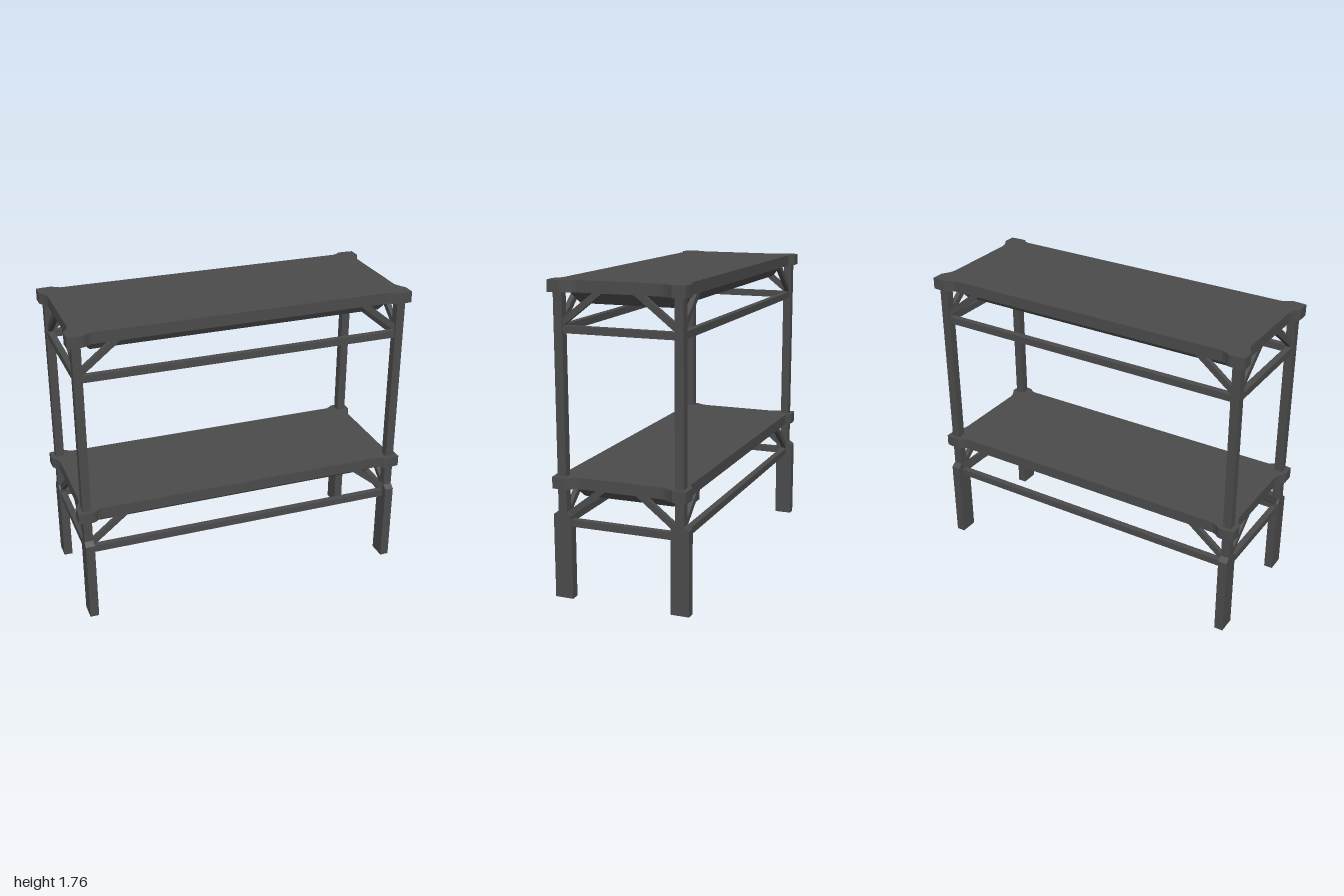
import * as THREE from 'three';

const darkGrey = new THREE.MeshStandardMaterial({ color: 0x4b4b4b });
darkGrey.name = 'darkGrey';

const POST_X = 0.948, POST_Z = 0.343, POST_W = 0.05, POST_IN_X = 0.923, POST_IN_Z = 0.318;
const SIGNS = [[1, 1], [-1, 1], [-1, -1], [1, -1]];

function addMesh(parent, geometry, name, x = 0, y = 0, z = 0) {
  const mesh = new THREE.Mesh(geometry, darkGrey);
  mesh.name = name;
  mesh.position.set(x, y, z);
  parent.add(mesh);
  return mesh;
}

function extrude(points, depth) {
  const shape = new THREE.Shape(points.map(([x, y]) => new THREE.Vector2(x, y)));
  return new THREE.ExtrudeGeometry(shape, { depth, bevelEnabled: false });
}

// Board outline with flared corners, mirrored from one quadrant
function boardGeometry(thickness) {
  const corner = [
    [0.963, 0.235], [0.968, 0.258], [0.982, 0.288], [1, 0.314], [1, 0.388],
    [0.965, 0.392], [0.92, 0.394], [0.905, 0.39], [0.885, 0.374], [0.863, 0.364],
  ];
  const outline = SIGNS.flatMap(([sx, sz]) => {
    const pts = corner.map(([x, z]) => [x * sx, z * sz]);
    return sx * sz > 0 ? pts : pts.reverse();
  });
  return extrude(outline, thickness).rotateX(Math.PI / 2);
}

// Shallow tray under the board, narrowing downward
function trayGeometry(height) {
  const geometry = new THREE.BoxGeometry(1.82, height, 0.62).toNonIndexed();
  const p = geometry.attributes.position;
  for (let i = 0; i < p.count; i++) {
    if (p.getY(i) < 0) p.setXYZ(i, Math.sign(p.getX(i)) * 0.855, p.getY(i), Math.sign(p.getZ(i)) * 0.265);
  }
  geometry.computeVertexNormals();
  return geometry;
}

// Diagonal brace in a vertical plane: u runs outward, y is relative to the board's underside
function braceGeometry(inner, outer, drop, slotTop) {
  const t = 0.028;
  return extrude([
    [inner, 0.01], [inner, 0], [outer, -drop], [outer, slotTop], [inner + 0.056, 0], [inner + 0.056, 0.01],
  ], t).translate(0, 0, -t / 2);
}

function makeShelf(name, top) {
  const shelf = new THREE.Group();
  shelf.name = name;
  const under = top - 0.065;
  addMesh(shelf, boardGeometry(0.065), 'board', 0, top, 0);
  addMesh(shelf, trayGeometry(0.07), 'tray', 0, under - 0.034, 0);

  // Rails below the board
  const railY = under - 0.197;
  for (const s of [1, -1]) {
    addMesh(shelf, new THREE.BoxGeometry(2 * POST_IN_X, 0.04, 0.036), 'longRail', 0, railY, s * POST_Z);
    addMesh(shelf, new THREE.BoxGeometry(0.036, 0.04, 2 * POST_IN_Z), 'shortRail', s * POST_X, railY, 0);
  }

  // Two braces at each corner
  const longBrace = braceGeometry(0.7, POST_IN_X, 0.178, -0.134);
  const shortBrace = braceGeometry(0.09, POST_IN_Z, 0.178, -0.134);
  for (const [sx, sz] of SIGNS) {
    addMesh(shelf, longBrace, 'longBrace', 0, under, sz * POST_Z).rotation.y = sx > 0 ? 0 : Math.PI;
    addMesh(shelf, shortBrace, 'shortBrace', sx * POST_X, under, 0).rotation.y = -sz * Math.PI / 2;
  }
  return shelf;
}

export function createModel() {
  const model = new THREE.Group();
  model.name = 'twoTierShelf';
  model.add(makeShelf('lowerShelf', 0.7), makeShelf('upperShelf', 1.765));

  // Wide foot with chamfered shoulders
  const foot = extrude([
    [-0.053, 0], [0.053, 0], [0.053, 0.48], [0.025, 0.502], [-0.025, 0.502], [-0.053, 0.48],
  ], 0.052).translate(0, 0, -0.026).rotateY(Math.PI / 2);
  const post = new THREE.BoxGeometry(POST_W, 1.22, POST_W);
  for (const [sx, sz] of SIGNS) {
    addMesh(model, post, 'post', sx * POST_X, 1.1, sz * POST_Z);
    addMesh(model, foot, 'foot', sx * POST_X, 0, sz * 0.345);
  }
  return model;
}
